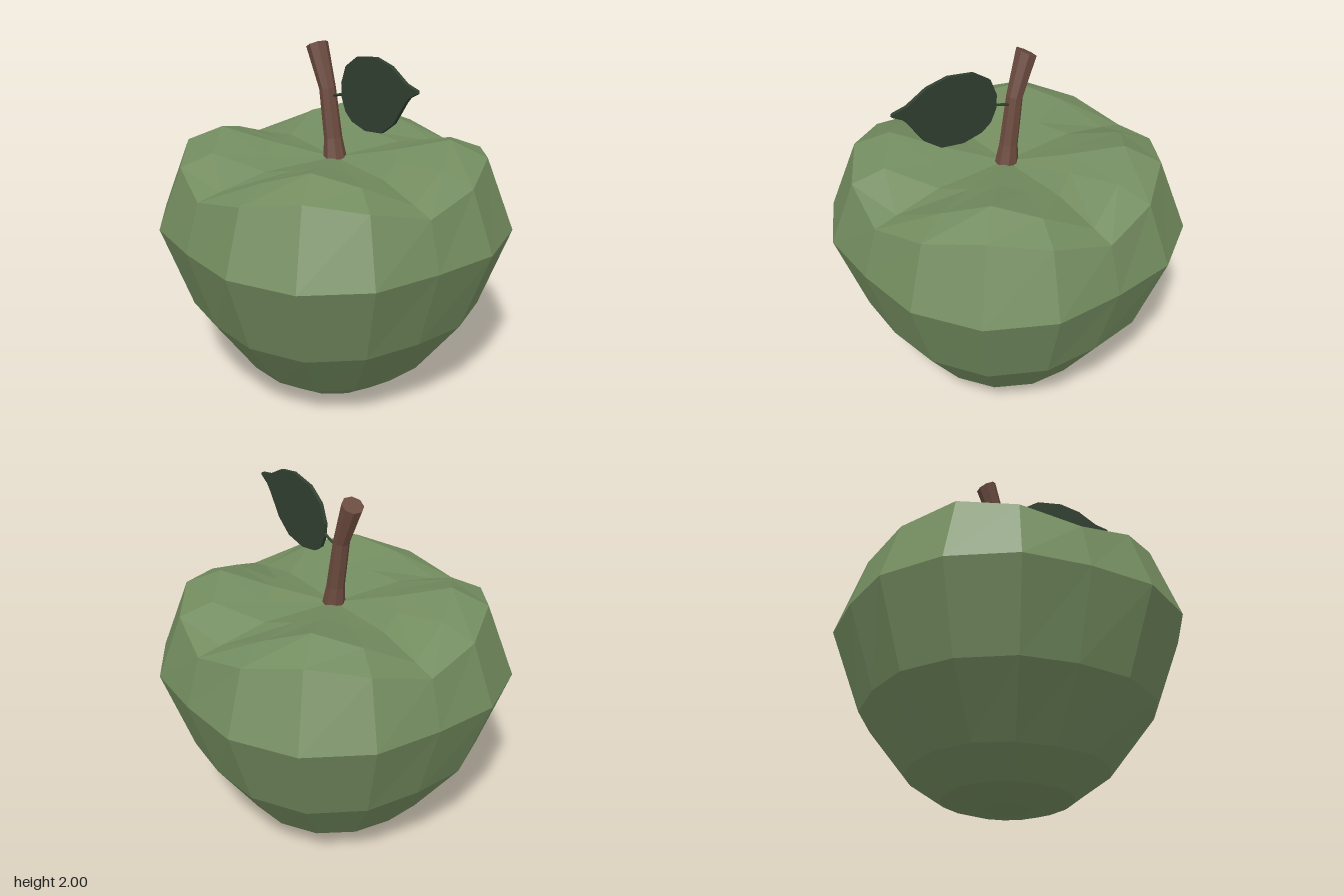
import * as THREE from 'three';

const material = (color) => new THREE.MeshStandardMaterial({ color, flatShading: true });

// Skin a stack of closed rings (arrays of Vector3), bottom to top
function loft(rings) {
  const n = rings[0].length;
  const index = [];
  for (let j = 0; j < rings.length - 1; j++) {
    for (let i = 0; i < n; i++) {
      const k = (i + 1) % n;
      const a = j * n + i, b = j * n + k, c = a + n, d = b + n;
      index.push(a, b, d, a, d, c);
    }
  }
  const geometry = new THREE.BufferGeometry().setFromPoints(rings.flat());
  geometry.setIndex(index);
  const flat = geometry.toNonIndexed();
  flat.computeVertexNormals();
  return flat;
}

// Four lobes of four columns each: radius and height per column, valley first
function lobedRing(radii, heights) {
  return Array.from({ length: 16 }, (_, i) => {
    const angle = (i / 16) * Math.PI * 2 + 0.086;
    const r = radii[i % 4];
    return new THREE.Vector3(Math.sin(angle) * r, heights[i % 4], Math.cos(angle) * r);
  });
}
const same = (v) => [v, v, v, v];

function makeFruit() {
  const rings = [
    lobedRing(same(0), same(0.006)),
    lobedRing(same(0.12), same(0.002)),
    lobedRing(same(0.25), same(0.014)),
    lobedRing([0.355, 0.36, 0.365, 0.36], same(0.05)),
    lobedRing([0.54, 0.555, 0.565, 0.555], same(0.19)),
    lobedRing([0.785, 0.815, 0.83, 0.815], [0.54, 0.535, 0.53, 0.535]),
    lobedRing([0.935, 0.984, 1.0, 0.983], [1.01, 1.005, 1.0, 1.005]),
    lobedRing([0.853, 0.855, 0.842, 0.849], [1.28, 1.35, 1.41, 1.36]),
    lobedRing([0.72, 0.67, 0.64, 0.67], [1.31, 1.42, 1.5, 1.43]),
    lobedRing([0.45, 0.39, 0.34, 0.39], [1.365, 1.4, 1.425, 1.4]),
    lobedRing(same(0), same(1.36)),
  ];
  const fruit = new THREE.Mesh(loft(rings), material(0x738c5f));
  fruit.name = 'fruit';
  return fruit;
}

function makeStem() {
  // Centre x, y, z, radius and backward tilt of each eight-sided section
  const sections = [
    [0.005, 1.35, 0, 0, 0],
    [0.005, 1.35, 0, 0.066, 0],
    [0.002, 1.47, -0.018, 0.051, 0.15],
    [-0.008, 1.74, -0.062, 0.046, 0.25],
    [-0.025, 1.968, -0.147, 0.061, 0.5],
    [-0.025, 1.968, -0.147, 0, 0.5],
  ];
  const rings = sections.map(([x, y, z, r, tilt]) =>
    Array.from({ length: 8 }, (_, i) => {
      const a = ((i + 0.5) / 8) * Math.PI * 2;
      const s = Math.sin(a) * r, c = Math.cos(a) * r;
      return new THREE.Vector3(x + s, y + c * Math.sin(tilt), z + c * Math.cos(tilt));
    }));
  const stem = new THREE.Mesh(loft(rings), material(0x6b4a3e));
  stem.name = 'stem';
  return stem;
}

function makeLeaf() {
  const group = new THREE.Group();
  group.name = 'leaf';
  const green = material(0x304030);

  // Blade outline, measured outward from the stem and upward
  const outline = [
    [0.07, 1.8], [0.075, 1.72], [0.11, 1.65], [0.17, 1.61], [0.29, 1.59], [0.43, 1.615],
    [0.53, 1.69], [0.62, 1.82], [0.65, 1.855], [0.71, 1.89], [0.705, 1.905], [0.62, 1.92],
    [0.5, 1.98], [0.37, 2.0], [0.21, 1.97], [0.11, 1.9],
  ].map(([u, y]) => new THREE.Vector2(u, y));
  const geometry = new THREE.ExtrudeGeometry(new THREE.Shape(outline), { depth: 0.02, bevelEnabled: false });
  geometry.translate(0, 0, -0.01);
  const blade = new THREE.Mesh(geometry, green);
  blade.name = 'leafBlade';

  // Thin stalk joining the blade to the stem
  const path = new THREE.LineCurve3(new THREE.Vector3(-0.04, 1.7, 0), new THREE.Vector3(0.09, 1.742, 0));
  const stalk = new THREE.Mesh(new THREE.TubeGeometry(path, 1, 0.008, 5), green);
  stalk.name = 'leafStalk';

  group.add(blade, stalk);
  group.rotation.y = -Math.PI / 2 + 0.085;
  group.position.x = 0.006;
  return group;
}

export function createModel() {
  const model = new THREE.Group();
  model.name = 'apple';
  model.add(makeFruit(), makeStem(), makeLeaf());
  return model;
}
